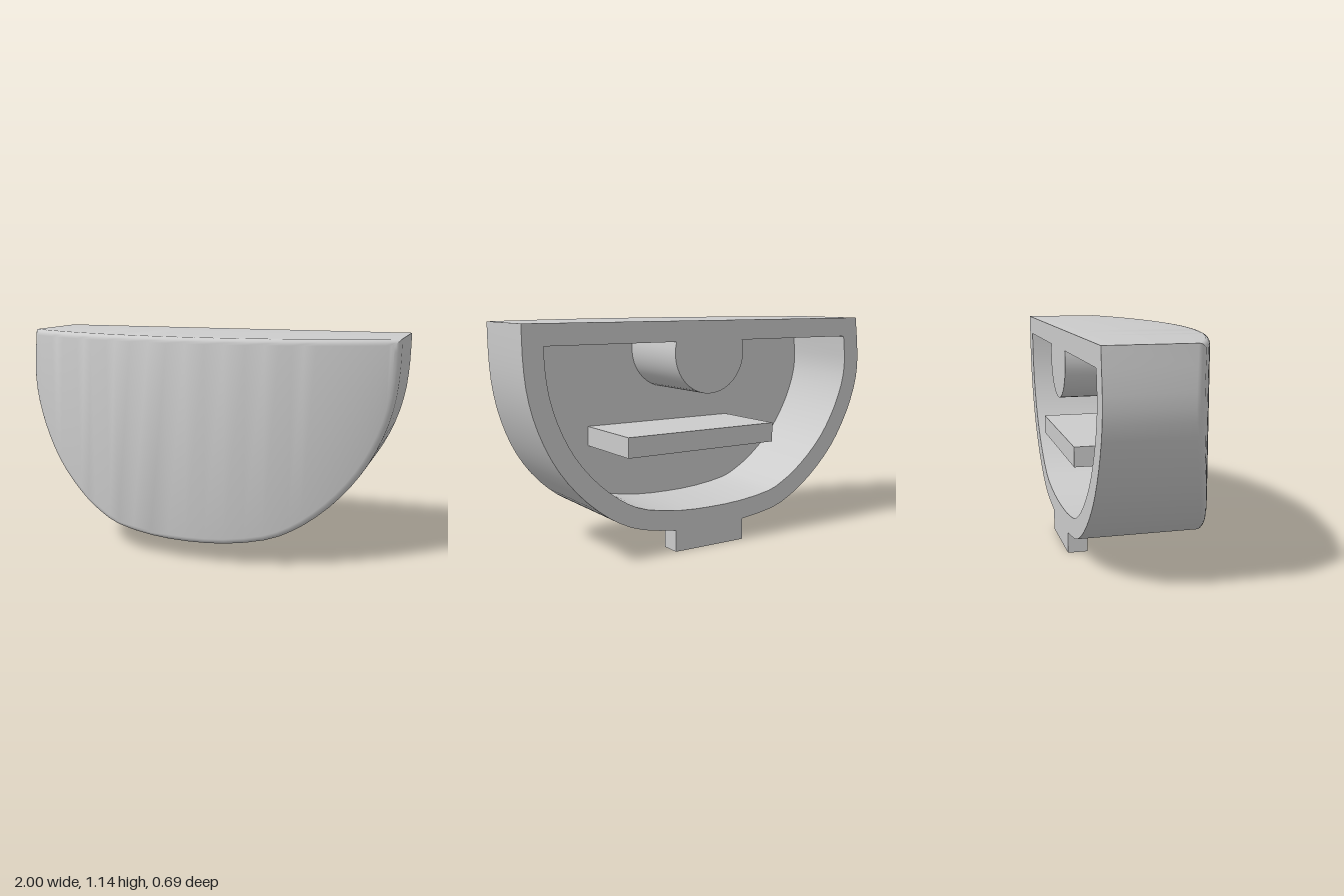
import * as THREE from 'three';
import { toCreasedNormals } from 'three/addons/utils/BufferGeometryUtils.js';

const BACK = -0.343, FRONT = 0.343, FLOOR = 0.07, TOP = 1.14, WALL = 0.1, FILLET = 0.03;

// Rounded lower outline, from the top left corner round to the top right one
const OUTLINE = new THREE.SplineCurve([
  [-0.977, 1.14], [-1, 0.94], [-0.993, 0.81], [-0.955, 0.68], [-0.895, 0.555], [-0.815, 0.435],
  [-0.715, 0.33], [-0.61, 0.245], [-0.51, 0.185], [-0.4, 0.14], [-0.2, 0.11], [0, 0.102],
  [0.2, 0.109], [0.4, 0.141], [0.53, 0.193], [0.645, 0.27], [0.75, 0.367], [0.84, 0.48],
  [0.907, 0.6], [0.957, 0.73], [0.986, 0.86], [0.998, 1], [1, 1.14],
].map(([x, y]) => new THREE.Vector2(x, y))).getPoints(44);
const N = OUTLINE.length - 1;

// Bowed front face
const BOW = 2.1;
const frontZ = (x) => Math.sqrt(BOW * BOW - x * x) - BOW + FRONT;

// Outline moved inwards by d, open along the top
function inset(d) {
  return OUTLINE.map(({ x, y }, i) => {
    if (i === 0) return new THREE.Vector2(x + d, y - d);
    if (i === N) return new THREE.Vector2(x - d, y - d);
    const t = OUTLINE[i + 1].clone().sub(OUTLINE[i - 1]).normalize();
    return new THREE.Vector2(x - t.y * d, y + t.x * d);
  });
}

// Closed ring: the inset outline plus a straight top edge with matching x positions
function ring(d, zAt) {
  const pts = inset(d);
  const [left, right] = [pts[0].x, pts[N].x];
  for (let i = N - 1; i > 0; i--) {
    pts.push(new THREE.Vector2(THREE.MathUtils.clamp(pts[i].x, left, right), TOP - d));
  }
  return pts.map((p) => new THREE.Vector3(p.x, p.y, zAt(p.x)));
}

// Cavity contour: inset outline with a round boss hanging from the ceiling
function cavityContour() {
  const pts = inset(WALL);
  const cx = 0.012, cy = 0.985, r = 0.205, steps = 24;
  const a = Math.asin((TOP - WALL - cy) / r);
  for (let i = 0; i <= steps; i++) {
    const t = a - (i / steps) * (Math.PI + 2 * a);
    pts.push(new THREE.Vector2(cx + r * Math.cos(t), cy + r * Math.sin(t)));
  }
  return pts;
}

function shellGeometry() {
  const pos = [];
  const tri = (a, b, c) => {
    if (new THREE.Triangle(a, b, c).getArea() < 1e-7) return;
    for (const p of [a, b, c]) pos.push(p.x, p.y, p.z);
  };
  const loft = (A, B) => A.forEach((p, j) => {
    const k = (j + 1) % A.length;
    tri(p, A[k], B[k]);
    tri(p, B[k], B[j]);
  });
  const at = (pts, z) => pts.map((p) => new THREE.Vector3(p.x, p.y, z));
  // flat face looking backwards
  const flat = (contour, holes, z) => {
    const v = at([contour, ...holes].flat(), z);
    for (const [a, b, c] of THREE.ShapeUtils.triangulateShape(contour, holes)) tri(v[c], v[b], v[a]);
  };

  // cavity floor, cavity walls with boss, back rim
  const cavity = cavityContour();
  flat(cavity, [], FLOOR);
  loft(at(cavity, FLOOR), at(cavity, BACK));
  flat(inset(0), [cavity], BACK);

  // outer wall and rounded front edge
  let last = ring(0, () => BACK);
  const steps = 5;
  for (let k = 0; k <= steps; k++) {
    const a = (k / steps) * Math.PI / 2;
    const next = ring(FILLET * (1 - Math.cos(a)), (x) => frontZ(x) - FILLET * (1 - Math.sin(a)));
    loft(last, next);
    last = next;
  }

  // front face, as upright strips
  for (let i = 0; i < N; i++) {
    const t0 = last[(2 * N - i) % (2 * N)], t1 = last[2 * N - i - 1];
    tri(last[i], last[i + 1], t1);
    tri(last[i], t1, t0);
  }
  const g = new THREE.BufferGeometry();
  g.setAttribute('position', new THREE.Float32BufferAttribute(pos, 3));
  return toCreasedNormals(g, 0.5);
}

export function createModel() {
  const model = new THREE.Group();
  const material = new THREE.MeshStandardMaterial({ color: 0xcccccc });
  const add = (name, geometry) => {
    const mesh = new THREE.Mesh(geometry, material);
    mesh.name = name;
    model.add(mesh);
  };
  const box = (x0, x1, y0, y1, z0, z1) =>
    new THREE.BoxGeometry(x1 - x0, y1 - y0, z1 - z0)
      .translate((x0 + x1) / 2, (y0 + y1) / 2, (z0 + z1) / 2);

  add('hollowShell', shellGeometry());

  // Flat shelf standing out from the cavity floor
  add('innerShelf', box(-0.393, 0.48, 0.5, 0.6, BACK, FLOOR));

  // Locating tab under the back edge
  add('bottomTab', box(-0.2, 0.213, 0, 0.13, BACK, -0.24));

  return model;
}
